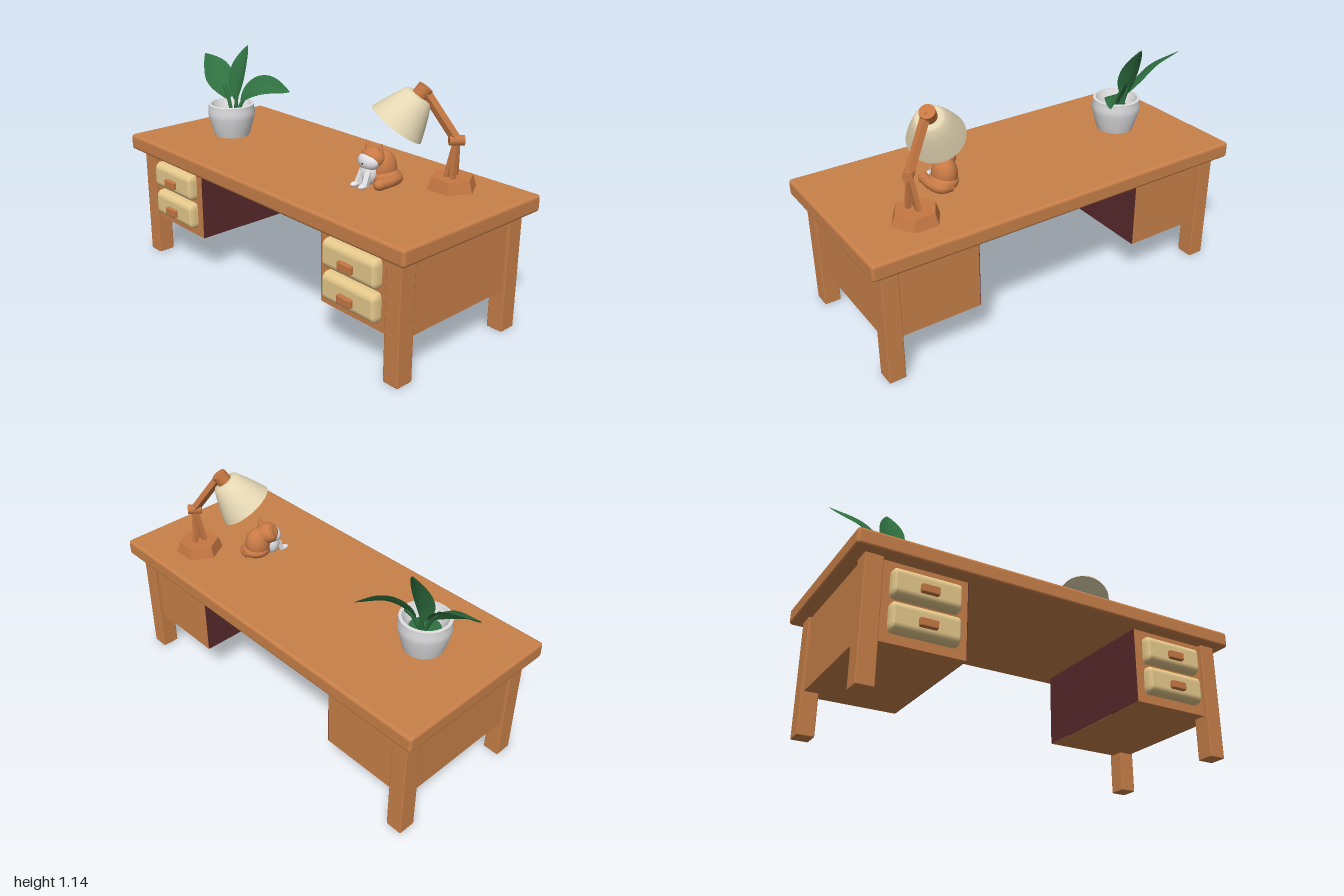
import * as THREE from 'three';
import { RoundedBoxGeometry } from 'three/addons/geometries/RoundedBoxGeometry.js';
import { toCreasedNormals } from 'three/addons/utils/BufferGeometryUtils.js';

const mat = (name, color, side = THREE.FrontSide) => {
  const m = new THREE.MeshStandardMaterial({ color, side });
  m.name = name;
  return m;
};
const V = (x, y, z) => new THREE.Vector3(x, y, z);

export function createModel() {
  const wood = mat('wood', 0xc88049);
  const darkWood = mat('lampWood', 0xc67843);
  const maroon = mat('maroonPanel', 0x592a2d);
  const cream = mat('drawerCream', 0xe6c98c);
  const shadeMat = mat('shadeCream', 0xe6d8b4);
  const ceramic = mat('ceramic', 0xdcdcde, THREE.DoubleSide);
  const green = mat('leafGreen', 0x2f7040, THREE.DoubleSide);
  const fur = mat('orangeFur', 0xc87a45);
  const white = mat('whiteFur', 0xe4e4e8);
  const dark = mat('darkFeature', 0x2a2220);

  const model = new THREE.Group();
  model.name = 'desk';
  const group = (name) => {
    const g = new THREE.Group();
    g.name = name;
    model.add(g);
    return g;
  };
  const add = (parent, name, geo, material, x = 0, y = 0, z = 0) => {
    const m = new THREE.Mesh(geo, material);
    m.name = name;
    m.position.set(x, y, z);
    parent.add(m);
    return m;
  };
  // Turn a mesh so that its y axis follows a direction
  const aim = (mesh, dir) => {
    mesh.quaternion.setFromUnitVectors(V(0, 1, 0), dir.clone().normalize());
    return mesh;
  };
  const beam = (parent, name, a, b, w, d, material) => {
    const mid = a.clone().add(b).multiplyScalar(0.5);
    const geo = new THREE.BoxGeometry(w, a.distanceTo(b), d);
    return aim(add(parent, name, geo, material, mid.x, mid.y, mid.z), b.clone().sub(a));
  };
  const blob = (parent, name, material, c, r) => {
    const m = add(parent, name, new THREE.SphereGeometry(1, 24, 16), material, ...c);
    m.scale.set(...r);
    return m;
  };

  // Desk top, legs, cabinets and drawers
  add(model, 'deskTop', new RoundedBoxGeometry(2, 0.082, 0.89, 3, 0.016), wood, 0, 0.625, 0);
  for (const s of [-1, 1]) {
    for (const z of [-0.35, 0.35])
      add(model, 'leg', new RoundedBoxGeometry(0.084, 0.595, 0.09, 1, 0.005), wood, s * 0.903, 0.2975, z);
    add(model, 'cabinet', new THREE.BoxGeometry(0.475, 0.385, 0.744), wood, s * 0.6935, 0.4025, 0);
    add(model, 'innerPanel', new THREE.BoxGeometry(0.004, 0.383, 0.742), maroon, s * 0.4545, 0.4025, 0);
    for (const y of [0.322, 0.478]) {
      // Built double width and halved, so the ends are rounded less than the top and bottom
      const drawer = new RoundedBoxGeometry(0.644, 0.136, 0.09, 4, 0.034);
      add(model, 'drawer', drawer, cream, s * 0.66, y, 0.376).scale.x = 0.5;
      add(model, 'drawerHandle', new RoundedBoxGeometry(0.084, 0.04, 0.04, 1, 0.006), darkWood, s * 0.66, y - 0.012, 0.421);
    }
  }

  // Potted plant: bowl with a sloping inside
  const plant = group('plant');
  const potProfile = [[0, 0], [0.094, 0], [0.102, 0.025], [0.122, 0.1], [0.125, 0.125], [0.121, 0.145],
    [0.121, 0.168], [0.106, 0.17], [0.098, 0.15], [0.07, 0.1]].map(([r, y]) => new THREE.Vector2(r, y));
  add(plant, 'pot', toCreasedNormals(new THREE.LatheGeometry(potProfile, 32), 0.7), ceramic, -0.645, 0.666, 0.03);
  add(plant, 'plantBed', new THREE.CylinderGeometry(0.074, 0.07, 0.012, 24), green, -0.645, 0.77, 0.03);

  // Leaf: a folded strip swept along a curve, with a stalk at its root
  const leaf = (points, side, width) => {
    const curve = new THREE.CatmullRomCurve3(points);
    const n = 18, pos = [], idx = [];
    for (let i = 0; i <= n; i++) {
      const t = i / n, u = 0.17 + 0.83 * t, p = curve.getPointAt(u), tan = curve.getTangentAt(u);
      const s = side.clone().addScaledVector(tan, -side.dot(tan)).normalize();
      const up = s.clone().cross(tan).normalize();
      const w = width * Math.pow(Math.sin(Math.PI * Math.pow(t, 0.9)), 0.85) + 0.001;
      for (const k of [-1, -0.5, 0, 0.5, 1]) {
        const q = p.clone().addScaledVector(s, k * w).addScaledVector(up, Math.abs(k) * w * 0.3);
        pos.push(q.x, q.y, q.z);
      }
      if (i < n) for (let k = 0; k < 4; k++) {
        const a = i * 5 + k, b = a + 5;
        idx.push(a, a + 1, b, a + 1, b + 1, b);
      }
    }
    const geo = new THREE.BufferGeometry();
    geo.setAttribute('position', new THREE.Float32BufferAttribute(pos, 3));
    geo.setIndex(idx);
    geo.computeVertexNormals();
    add(plant, 'leaf', geo, green);
    const stalk = new THREE.CatmullRomCurve3([0, 0.12, 0.25, 0.36].map((t) => curve.getPointAt(t)));
    add(plant, 'stalk', new THREE.TubeGeometry(stalk, 10, 0.01, 8), green);
  };
  leaf([V(-0.655, 0.77, 0.02), V(-0.71, 0.88, 0.01), V(-0.82, 0.98, -0.005), V(-0.985, 1.04, -0.05)], V(-0.15, -0.55, 0.8), 0.074);
  leaf([V(-0.65, 0.77, 0.0), V(-0.665, 0.89, -0.025), V(-0.667, 1.01, -0.06), V(-0.668, 1.125, -0.11)], V(1, 0, 0), 0.065);
  leaf([V(-0.63, 0.77, 0.01), V(-0.605, 0.86, -0.03), V(-0.535, 0.922, -0.1), V(-0.422, 0.9, -0.19)], V(0.35, -0.45, 0.4), 0.064);

  // Desk lamp
  const lamp = group('lamp');
  const base = new THREE.CylinderGeometry(0.1, 0.118, 0.055, 6, 1);
  add(lamp, 'lampBase', toCreasedNormals(base, 0.3), darkWood, 0.677, 0.6935, -0.217).rotation.y = Math.PI / 2;
  const joint = V(0.695, 0.893, -0.213), head = V(0.557, 1.11, -0.138);
  for (const [x, z] of [[0.66, -0.192], [0.7, -0.19], [0.672, -0.243]])
    beam(lamp, 'lowerStrut', V(x, 0.7, z), joint, 0.022, 0.024, darkWood);
  const hinge = add(lamp, 'hinge', new THREE.CylinderGeometry(0.024, 0.024, 0.068, 10), darkWood, joint.x, joint.y, joint.z);
  aim(hinge, V(0.6, 0, -0.75));
  beam(lamp, 'upperArm', joint, head, 0.03, 0.036, darkWood);

  // Lamp head: shade and cap share one tilted axis
  const tilted = new THREE.Group();
  tilted.name = 'lampHead';
  tilted.position.set(0.474, 0.948, -0.059);
  aim(tilted, V(0.4, 0.81, -0.42));
  lamp.add(tilted);
  const shadeProfile = [[0, 0.004], [0.134, 0.004], [0.137, 0], [0.116, 0.055], [0.092, 0.11], [0.07, 0.155], [0.06, 0.164], [0, 0.167]]
    .map(([r, y]) => new THREE.Vector2(r, y));
  add(tilted, 'lampShade', toCreasedNormals(new THREE.LatheGeometry(shadeProfile, 32), 0.8), shadeMat);
  add(tilted, 'lampCap', toCreasedNormals(new THREE.CylinderGeometry(0.037, 0.037, 0.052, 16), 0.6), darkWood, 0, 0.187, 0);

  // Sitting cat
  const cat = group('cat');
  blob(cat, 'body', fur, [0.425, 0.737, -0.032], [0.06, 0.085, 0.068]);
  blob(cat, 'haunch', fur, [0.435, 0.703, -0.035], [0.072, 0.042, 0.076]);
  blob(cat, 'chest', white, [0.4, 0.725, 0.035], [0.044, 0.06, 0.04]);
  blob(cat, 'head', fur, [0.402, 0.79, 0.014], [0.061, 0.052, 0.053]);
  blob(cat, 'face', white, [0.4, 0.778, 0.038], [0.057, 0.043, 0.041]);
  blob(cat, 'nose', dark, [0.4, 0.775, 0.079], [0.005, 0.004, 0.003]);
  for (const s of [-1, 1]) {
    const ear = add(cat, 'ear', new THREE.ConeGeometry(0.029, 0.062, 12), fur, 0.402 + s * 0.041, 0.836, 0.006);
    ear.rotation.z = -s * 0.25;
    ear.scale.z = 0.6;
    beam(cat, 'frontLeg', V(0.402 + s * 0.02, 0.74, 0.055), V(0.402 + s * 0.024, 0.675, 0.085), 0.024, 0.024, white);
    blob(cat, 'paw', white, [0.402 + s * 0.025, 0.677, 0.1], [0.016, 0.012, 0.026]);
  }
  const tail = new THREE.CatmullRomCurve3([V(0.42, 0.692, -0.085), V(0.47, 0.692, -0.08), V(0.492, 0.694, -0.02), V(0.488, 0.692, 0.05)]);
  add(cat, 'tail', new THREE.TubeGeometry(tail, 20, 0.027, 10), fur);
  blob(cat, 'tailTip', fur, [0.488, 0.692, 0.051], [0.027, 0.027, 0.035]);

  return model;
}
